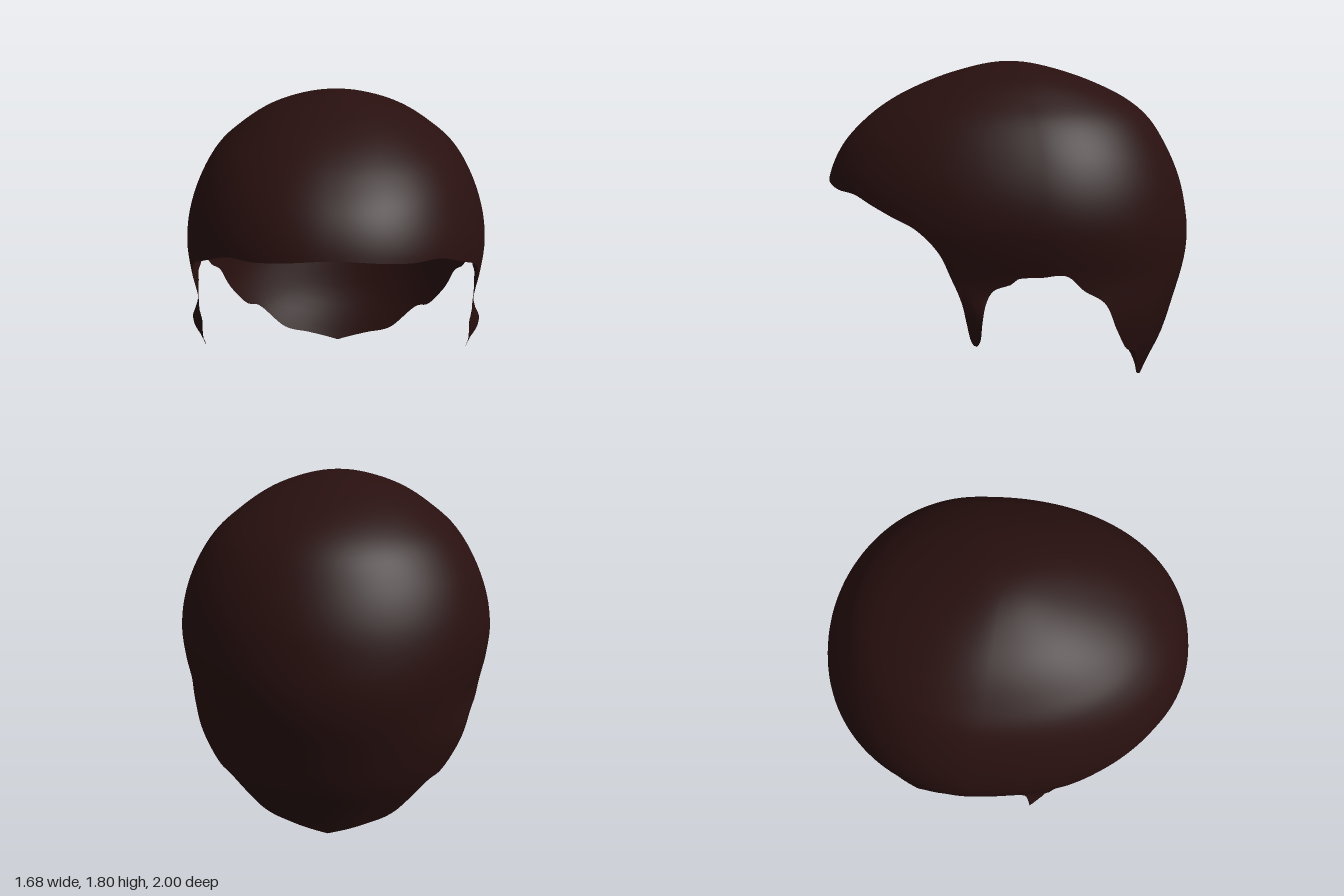
import * as THREE from 'three';
import { mergeVertices } from 'three/addons/utils/BufferGeometryUtils.js';

const TOP = 1.8;
const { clamp, smoothstep } = THREE.MathUtils;

// Cross-sections of the hair cap: height, half width, front z, back z
const sections = [
  [1.8, 0, 0, 0], [1.77, 0.2, 0.21, -0.21], [1.7, 0.38, 0.43, -0.43],
  [1.6, 0.53, 0.64, -0.64], [1.5, 0.645, 0.78, -0.765], [1.35, 0.745, 0.92, -0.865],
  [1.17, 0.815, 1, -0.945], [1, 0.84, 1.01, -0.985], [0.85, 0.825, 1.01, -1],
  [0.7, 0.795, 1, -0.985], [0.5, 0.79, 1, -0.93], [0.3, 0.735, 1, -0.87],
  [0.15, 0.67, 1, -0.8], [0, 0.6, 1, -0.74],
];

// Hem from forehead, down the sideburn, over the ear, to the nape: z, y
const hem = [
  [1, 1.17], [0.97, 1.15], [0.9, 1.13], [0.8, 1.12], [0.7, 1.075], [0.6, 1.03], [0.47, 0.97],
  [0.36, 0.86], [0.3, 0.73], [0.25, 0.61], [0.225, 0.5], [0.2, 0.4], [0.18, 0.375], [0.16, 0.4],
  [0.145, 0.52], [0.13, 0.6], [0.09, 0.675], [0, 0.71], [-0.03, 0.737], [-0.15, 0.745],
  [-0.27, 0.75], [-0.36, 0.67], [-0.47, 0.595], [-0.54, 0.44], [-0.6, 0.32], [-0.655, 0.285],
  [-0.69, 0.12], [-0.735, 0.06], [-0.742, 0.004],
];

const depth = y => Math.sqrt(Math.max(0, TOP - y));

// Smooth lookup of one section column, rounded at the crown
function sample(y, col) {
  const u = depth(y), last = sections.length - 1;
  const U = i => depth(sections[i][0]);
  let k = 0;
  while (k < last - 1 && U(k + 1) < u) k++;
  const slope = i => {
    const a = Math.max(0, i - 1), b = Math.min(last, i + 1);
    return (sections[b][col] - sections[a][col]) / (U(b) - U(a));
  };
  const h = U(k + 1) - U(k), t = (u - U(k)) / h, t2 = t * t, t3 = t2 * t;
  return (2 * t3 - 3 * t2 + 1) * sections[k][col] + (t3 - 2 * t2 + t) * h * slope(k)
    + (3 * t2 - 2 * t3) * sections[k + 1][col] + (t3 - t2) * h * slope(k + 1);
}

const centreZ = y => -0.15 * Math.min(1, depth(y) / 0.7);
const roundness = front => (front ? 2.2 : 2);

// Point of the cap at an angle (0 = front) and a height
function shell(angle, y) {
  const c = Math.cos(angle), s = Math.sin(angle), zc = centreZ(y);
  const e = 2 / roundness(c > 0);
  const reach = c > 0 ? sample(y, 2) - zc : zc - sample(y, 3);
  let x = sample(y, 1) * Math.pow(Math.abs(s), e);
  const z = zc + reach * Math.sign(c) * Math.pow(Math.abs(c), e);
  // rear edge of the sideburn flares outward
  if (z > 0.05 && z < 0.35) x += (0.205 - z) * 0.6 * (1 - smoothstep(y, 0.53, 0.63)) * smoothstep(y, 0.37, 0.5);
  return [x * Math.sign(s), y, z];
}

// Angle at which the cap reaches a given z
function angleAt(z, y) {
  const zc = centreZ(y), front = z > zc;
  const reach = front ? sample(y, 2) - zc : zc - sample(y, 3);
  const t = clamp(Math.abs(z - zc) / reach, 0, 1);
  return Math.acos((front ? 1 : -1) * Math.pow(t, roundness(front) / 2));
}

function hairGeometry() {
  const half = hem.map(([z, y], i) => new THREE.Vector3(
    i === 0 ? 0 : i === hem.length - 1 ? Math.PI : angleAt(z, y), y, 0));
  const mirrored = half.slice(1).reverse().map(p => new THREE.Vector3(-p.x, p.y, 0));
  const edge = new THREE.CatmullRomCurve3([...mirrored, ...half]);
  edge.arcLengthDivisions = 2000;
  const columns = 400, rows = 44;
  const pos = [], index = [];
  // each column runs from the crown down to the hem
  edge.getSpacedPoints(columns).forEach((p, j) => {
    for (let i = 0; i <= rows; i++) {
      const s = i / rows;
      pos.push(...(i === 0 ? [0, TOP, 0] : shell(p.x, TOP - (TOP - p.y) * Math.pow(s, 1.7))));
      if (j < columns && i < rows) {
        const a = j * (rows + 1) + i, c = a + rows + 1;
        index.push(a, a + 1, c + 1);
        if (i > 0) index.push(a, c + 1, c);
      }
    }
  });
  const g = new THREE.BufferGeometry();
  g.setAttribute('position', new THREE.Float32BufferAttribute(pos, 3));
  g.setIndex(index);
  const merged = mergeVertices(g, 1e-5);
  merged.computeVertexNormals();
  return merged;
}

export function createModel() {
  const group = new THREE.Group();
  group.name = 'hairCap';
  const darkBrown = new THREE.MeshStandardMaterial({ color: 0x28100f, side: THREE.DoubleSide });
  darkBrown.name = 'dark brown';
  const hair = new THREE.Mesh(hairGeometry(), darkBrown);
  hair.name = 'hair';
  group.add(hair);
  return group;
}
